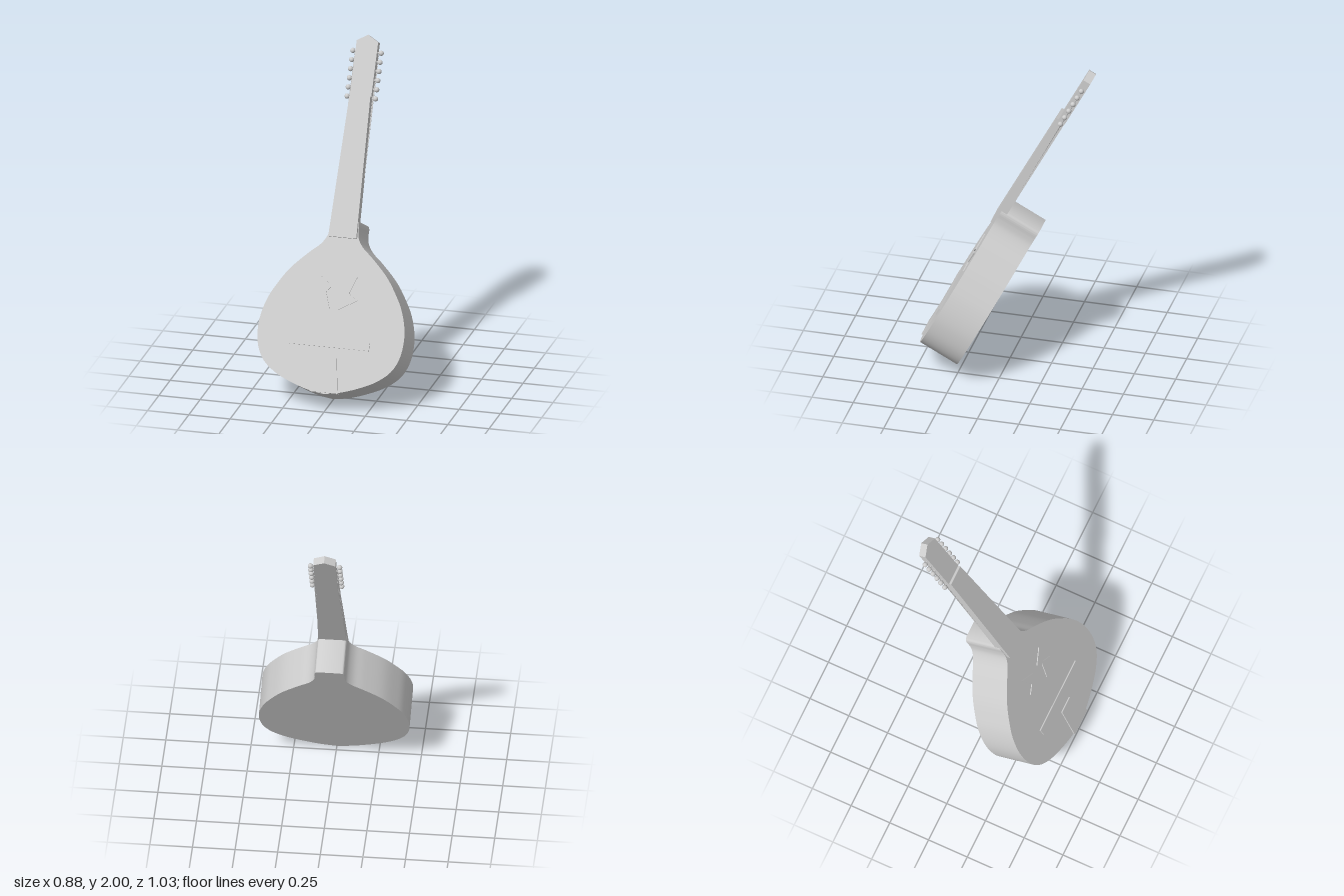
import * as THREE from 'three';
import { toCreasedNormals } from 'three/addons/utils/BufferGeometryUtils.js';

const TILT = -0.487;       // lean of the whole instrument
const DEPTH = 0.252;       // body thickness

export function createModel() {
  const model = new THREE.Group();
  model.name = 'stringedInstrument';
  const grey = new THREE.MeshStandardMaterial({ color: 0xcccccc });
  grey.name = 'plainGrey';

  // Local frame: y runs up the neck, z runs from the back (0) to the soundboard
  const tilted = new THREE.Group();
  tilted.name = 'instrument';
  tilted.rotation.x = TILT;
  tilted.position.set(0, 0, 0.288);
  model.add(tilted);

  const add = (name, geometry, parent = tilted) => {
    const mesh = new THREE.Mesh(geometry, grey);
    mesh.name = name;
    parent.add(mesh);
    return mesh;
  };
  // Flat outline extruded between two depths
  const slab = (points, z0, z1) => {
    const shape = new THREE.Shape(points.map(([x, y]) => new THREE.Vector2(x, y)));
    const g = new THREE.ExtrudeGeometry(shape, { depth: z1 - z0, bevelEnabled: false });
    return g.translate(0, 0, z0);
  };
  const mirrored = (half) => [...half, ...half.slice().reverse()
    .filter(([x]) => x > 1e-6).map(([x, y]) => [-x, y])];

  // Teardrop body with a short heel at the top
  const side = [
    [0, 0], [0.09, 0.015], [0.2, 0.05], [0.307, 0.1], [0.385, 0.165], [0.427, 0.245],
    [0.442, 0.35], [0.433, 0.44], [0.402, 0.54], [0.362, 0.615], [0.295, 0.715],
    [0.19, 0.822], [0.125, 0.88], [0.094, 0.93], [0.087, 0.975], [0.087, 1.01],
    [0.08, 1.028], [0.062, 1.035],
  ].map(([x, y]) => new THREE.Vector3(x, y, 0));
  const half = new THREE.CatmullRomCurve3(side).getPoints(90).map((p) => [Math.max(p.x, 0), p.y]);
  half[0] = [0, 0];
  add('body', toCreasedNormals(slab(mirrored(half), 0, DEPTH), 0.6));

  // Tapered neck lying over the heel
  add('neck', slab(mirrored([[0.085, 0.924], [0.063, 1.763]]), 0.214, 0.273));

  // Headstock with a shallow pointed top
  add('headstock', slab(mirrored([[0.065, 1.755], [0.065, 2.086], [0, 2.124]]), 0.212, 0.258));

  // Zigzag sound holes, bridge and tailpiece on the soundboard
  const bolt = [[0.117, 0.7], [0.079, 0.6], [0.133, 0.564], [0.027, 0.5], [0.06, 0.6], [0.027, 0.636]];
  for (const s of [1, -1]) {
    add(s > 0 ? 'leftSoundHole' : 'rightSoundHole',
      slab(bolt.map(([x, y]) => [s * x, y]), DEPTH - 0.002, DEPTH + 0.006));
  }
  add('bridge', slab(mirrored([[0.24, 0.276], [0.24, 0.323]]), DEPTH - 0.002, DEPTH + 0.008));
  add('tailpiece', slab(mirrored([[0.085, 0.008], [0.053, 0.215]]), DEPTH - 0.03, DEPTH + 0.008));

  // Six tuning pegs on each side, each with its string
  const knob = new THREE.SphereGeometry(0.0155, 20, 14);
  const shaft = new THREE.CylinderGeometry(0.006, 0.006, 0.03, 10).rotateZ(Math.PI / 2);
  const pegs = new THREE.Group();
  pegs.name = 'tuningPegs';
  const strings = new THREE.Group();
  strings.name = 'strings';
  tilted.add(pegs, strings);
  for (const s of [1, -1]) {
    for (let i = 0; i < 6; i++) {
      const y = 1.756 + i * 0.054;
      add('pegKnob', knob, pegs).position.set(s * 0.086, y, 0.235);
      add('pegShaft', shaft, pegs).position.set(s * 0.068, y, 0.235);
      const path = new THREE.LineCurve3(
        new THREE.Vector3(s * 0.074, y, 0.232),
        new THREE.Vector3(s * (0.08 - i * 0.013), 0.008, 0.2));
      add('string', new THREE.TubeGeometry(path, 1, 0.0013, 6), strings);
    }
  }
  return model;
}
